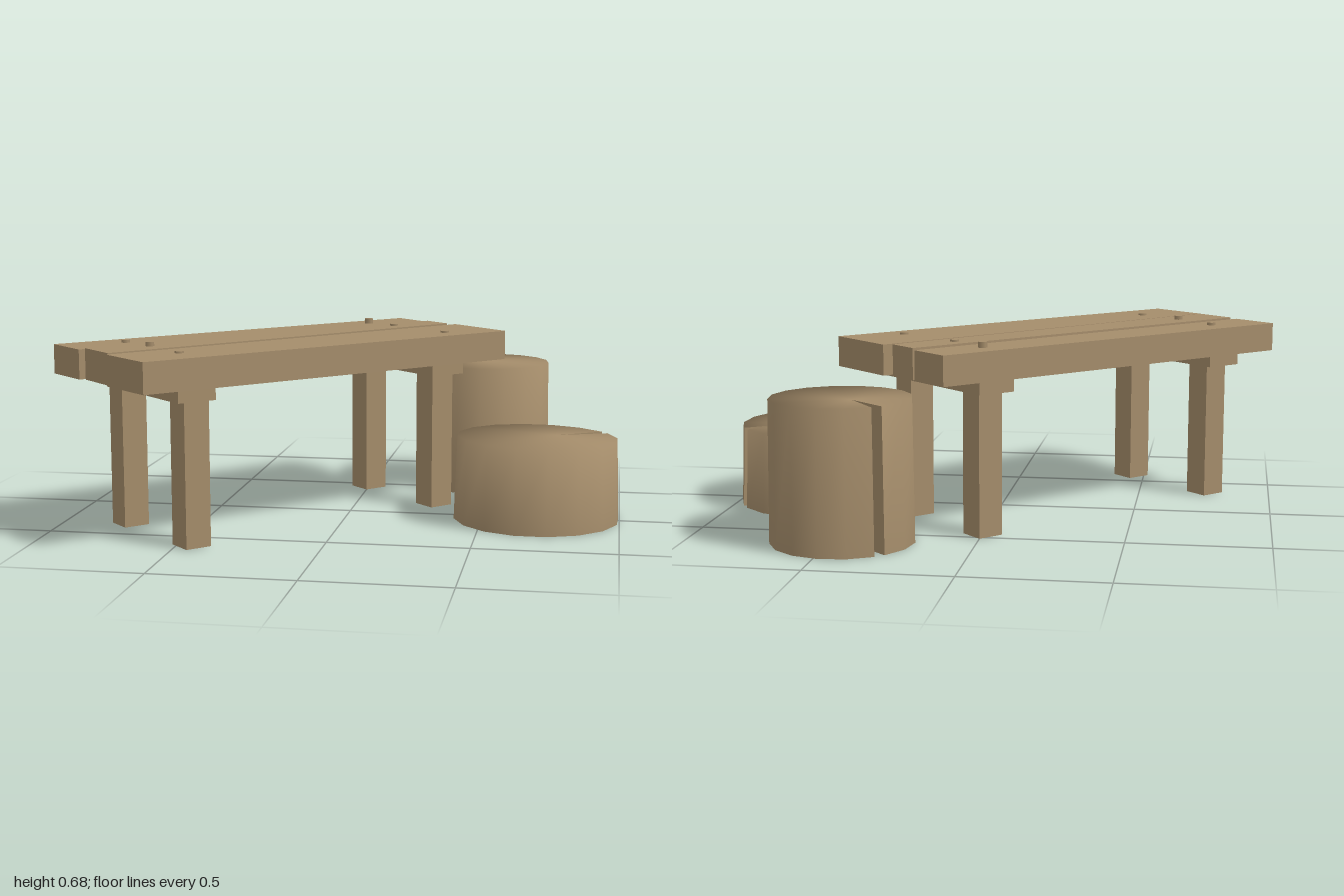
import * as THREE from 'three';

export function createModel() {
  const group = new THREE.Group();
  group.name = 'benchWithStumps';
  const wood = new THREE.MeshStandardMaterial({ color: 0xa58d6b, side: THREE.DoubleSide });
  wood.name = 'weathered wood';

  const add = (name, geometry, x = 0, y = 0, z = 0, turn = 0) => {
    const mesh = new THREE.Mesh(geometry, wood);
    mesh.name = name;
    mesh.position.set(x, y, z);
    mesh.rotation.y = turn;
    group.add(mesh);
    return mesh;
  };

  // Seat planks: uneven quads in plan (x, z), extruded upwards
  const planks = [
    ['backPlank', 0.66, [[-1, 0.41], [-0.86, 0.545], [0.21, -0.577], [0.09, -0.695]]],
    ['middlePlank', 0.665, [[-0.838, 0.543], [-0.717, 0.663], [0.308, -0.473], [0.22, -0.56]]],
    ['frontPlank', 0.663, [[-0.713, 0.687], [-0.535, 0.855], [0.553, -0.262], [0.342, -0.47]]],
  ];
  for (const [name, top, corners] of planks) {
    const shape = new THREE.Shape(corners.map(([x, z]) => new THREE.Vector2(x, -z)));
    const geometry = new THREE.ExtrudeGeometry(shape, { depth: top - 0.555, bevelEnabled: false });
    geometry.rotateX(-Math.PI / 2);
    add(name, geometry, 0, 0.555, 0);
  }

  // Nail heads
  const nails = [
    [-0.765, 0.315, 0.67], [-0.635, 0.445, 0.68], [-0.485, 0.6, 0.67],
    [-0.005, -0.47, 0.68], [0.112, -0.36, 0.672], [0.332, -0.168, 0.67],
  ];
  for (const [x, z, top] of nails) {
    add('nail', new THREE.CylinderGeometry(0.016, 0.016, 0.03, 8), x, top - 0.015, z);
  }

  // Cross bars under the planks
  for (const [x, z] of [[-0.61, 0.475], [0.145, -0.315]]) {
    add('crossBar', new THREE.BoxGeometry(0.585, 0.045, 0.145), x, 0.5325, z, -Math.PI / 4);
  }

  // Square legs, open underneath
  for (const [x, z] of [[-0.753, 0.34], [-0.448, 0.617], [0, -0.45], [0.295, -0.17]]) {
    const geometry = new THREE.CylinderGeometry(0.068, 0.068, 0.51, 4, 1, true).toNonIndexed();
    geometry.computeVertexNormals();
    add('leg', geometry, x, 0.255, z);
  }

  // Hollow stump with a wedge-shaped split; the rim is shaded smoothly
  function stump(name, { x, z, bottom, top, height, tilt, split, gap, apex }) {
    const sides = 16;
    const rim = (i, r, y) => {
      const a = split + gap + (i / sides) * (Math.PI * 2 - 2 * gap);
      const px = r * Math.cos(a), pz = r * Math.sin(a);
      return [px, y === 0 ? 0 : y - tilt * (px - pz), pz];
    };
    const points = [[apex[0] - x, height - tilt * (apex[0] - x), apex[1] - z]];
    const index = [];
    for (let i = 0; i <= sides; i++) {
      points.push(rim(i, bottom, 0), rim(i, top, height));
      if (i === sides) break;
      const b = 1 + i * 2, t = b + 1;
      index.push(0, t + 2, t, b, t, b + 2, t, t + 2, b + 2);
    }
    const shell = new THREE.BufferGeometry();
    shell.setAttribute('position', new THREE.Float32BufferAttribute(points.flat(), 3));
    shell.setIndex(index);
    shell.computeVertexNormals();
    add(name, shell, x, 0, z);

    // Two walls of the split
    for (const i of [0, sides]) {
      const [tip, b, t] = [points[0], points[1 + i * 2], points[2 + i * 2]];
      const foot = [tip[0], 0, tip[2]];
      const wall = new THREE.BufferGeometry();
      wall.setAttribute('position', new THREE.Float32BufferAttribute([foot, b, t, tip].flat(), 3));
      wall.setIndex(i === 0 ? [0, 2, 1, 0, 3, 2] : [0, 1, 2, 0, 2, 3]);
      wall.computeVertexNormals();
      add(name + 'Split', wall, x, 0, z);
    }
  }
  stump('tallStump', {
    x: 0.46, z: -0.608, bottom: 0.252, top: 0.246, height: 0.5, tilt: 0,
    split: -2.314, gap: 0.077, apex: [0.41, -0.66],
  });
  stump('shortStump', {
    x: 0.695, z: -0.003, bottom: 0.305, top: 0.294, height: 0.304, tilt: 0.015,
    split: -0.597, gap: 0.064, apex: [0.765, -0.053],
  });
  return group;
}
